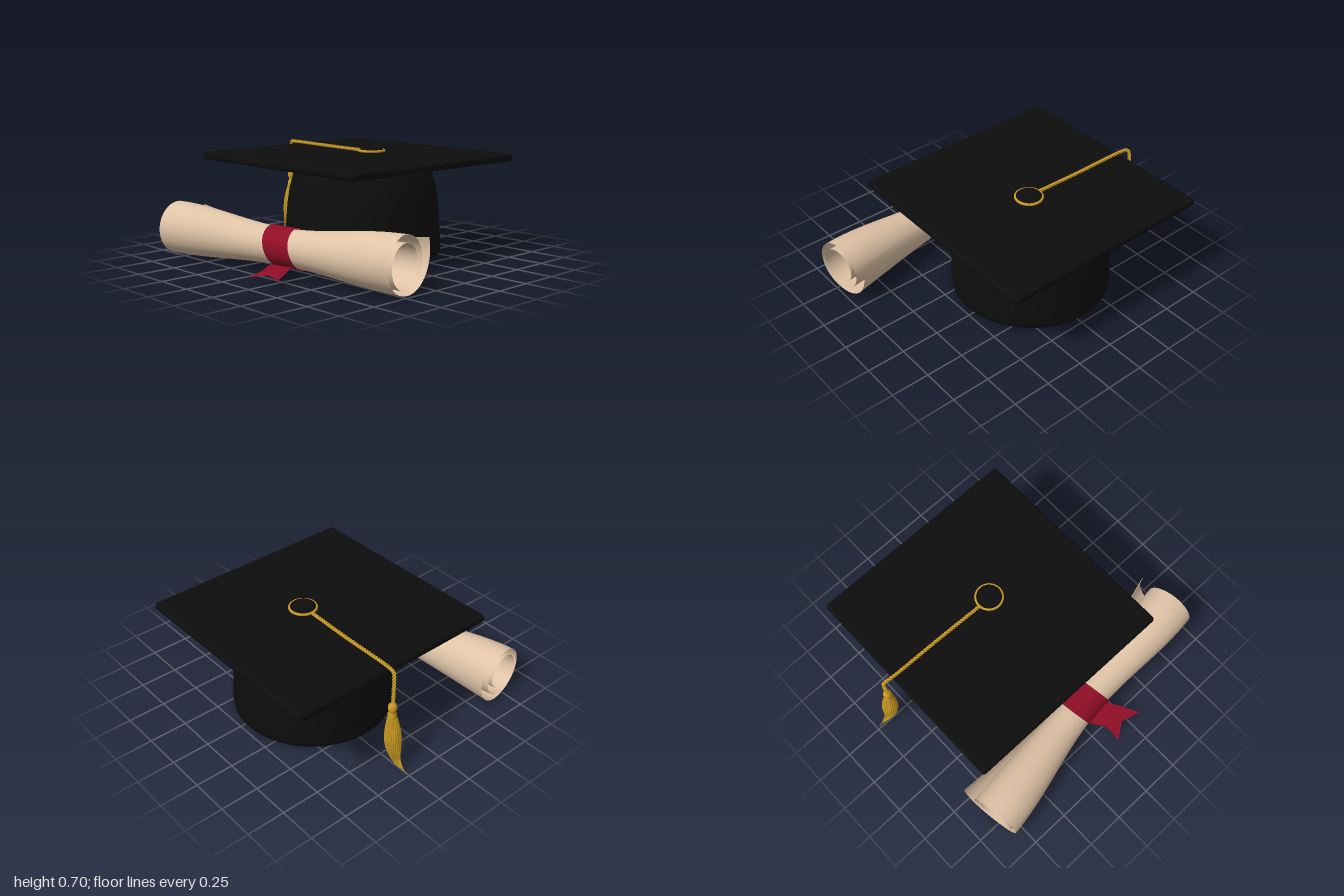
import * as THREE from 'three';
import { RoundedBoxGeometry } from 'three/addons/geometries/RoundedBoxGeometry.js';

const paint = (name, color) => new THREE.MeshStandardMaterial({ name, color, side: THREE.DoubleSide });

// Smooth sheet: fn(u, v) returns [x, y, z] for u, v in 0..1
function sheet(nu, nv, fn) {
  const pos = [], idx = [];
  for (let i = 0; i <= nu; i++) for (let j = 0; j <= nv; j++) pos.push(...fn(i / nu, j / nv));
  for (let i = 0; i < nu; i++) for (let j = 0; j < nv; j++) {
    const a = i * (nv + 1) + j, b = a + nv + 1;
    idx.push(a, b, a + 1, b, b + 1, a + 1);
  }
  const g = new THREE.BufferGeometry();
  g.setAttribute('position', new THREE.Float32BufferAttribute(pos, 3));
  g.setIndex(idx);
  g.computeVertexNormals();
  return g;
}

const lathe = (pts, seg = 48) => new THREE.LatheGeometry(pts.map(p => new THREE.Vector2(...p)), seg);
const curve = pts => new THREE.CatmullRomCurve3(pts.map(p => new THREE.Vector3(...p)), false, 'centripetal');

export function createModel() {
  const black = paint('black cloth', 0x0d0d0d);
  const gold = paint('gold thread', 0xcb9a22);
  const tan = paint('parchment', 0xdfc3a6);
  const red = paint('red ribbon', 0x900e26);
  const model = new THREE.Group();
  const add = (name, geo, mat, parent = model, x = 0, y = 0, z = 0) => {
    const m = new THREE.Mesh(geo, mat);
    m.name = name;
    m.position.set(x, y, z);
    parent.add(m);
    return m;
  };
  const group = name => {
    const g = new THREE.Group();
    g.name = name;
    model.add(g);
    return g;
  };

  // Cap: rounded crown, square board and button
  const cap = group('cap');
  add('crown', lathe([[0, 0.003], [0.49, 0.003], [0.515, 0.012], [0.518, 0.05], [0.51, 0.2], [0.5, 0.34],
    [0.485, 0.44], [0.46, 0.53], [0.43, 0.585], [0.39, 0.62], [0, 0.63]], 64), black, cap, -0.05, 0, -0.2);
  const board = add('board', new RoundedBoxGeometry(1.44, 0.05, 1.46, 4, 0.02), black, cap, -0.06, 0.643, -0.16);
  board.rotation.z = -0.006;
  add('button', lathe([[0.085, 0], [0.085, 0.018], [0.07, 0.032], [0.04, 0.037], [0, 0.038]], 32),
    black, cap, 0, 0.667, -0.23);

  // Tassel: loop around the button, twisted cord, bound head and fringe
  const tassel = group('tassel');
  const loop = add('buttonLoop', new THREE.TorusGeometry(0.084, 0.009, 8, 40), gold, tassel, 0, 0.682, -0.23);
  loop.rotation.x = Math.PI / 2;
  const cordPath = curve([[-0.08, 0.678, -0.225], [-0.4, 0.681, -0.235], [-0.79, 0.686, -0.243],
    [-0.83, 0.682, -0.25], [-0.842, 0.66, -0.257], [-0.845, 0.46, -0.26]]);
  const frames = cordPath.computeFrenetFrames(240, false);
  for (const phase of [0, Math.PI]) {
    const strand = [];
    for (let i = 0; i <= 240; i++) {
      const a = phase + i * 0.62;
      strand.push(cordPath.getPointAt(i / 240)
        .addScaledVector(frames.normals[i], 0.006 * Math.cos(a))
        .addScaledVector(frames.binormals[i], 0.006 * Math.sin(a)));
    }
    add('cordStrand', new THREE.TubeGeometry(new THREE.CatmullRomCurve3(strand), 300, 0.007, 6), gold, tassel);
  }
  add('tasselHead', lathe([[0, 0.475], [0.014, 0.47], [0.026, 0.455], [0.028, 0.43], [0.021, 0.412], [0.021, 0.4],
    [0.028, 0.39], [0.029, 0.37], [0.026, 0.35], [0, 0.34]].reverse(), 24), gold, tassel, -0.845, 0, -0.26);

  // Fringe: swept core with tapering threads laid around it
  const sweep = curve([[-0.845, 0.37, -0.26], [-0.855, 0.26, -0.26], [-0.868, 0.15, -0.26],
    [-0.905, 0.06, -0.26], [-0.99, 0.01, -0.26]]);
  const spread = t => 0.022 + 0.03 * Math.sin(Math.PI * Math.min(1, t * 1.05)) - 0.02 * t * t;
  const fringePoint = (t, a, r) => {
    const p = sweep.getPointAt(t), d = sweep.getTangentAt(t);
    return [p.x - d.y * Math.cos(a) * r, p.y + d.x * Math.cos(a) * r, p.z + Math.sin(a) * r];
  };
  add('fringeCore', sheet(24, 20, (u, v) =>
    fringePoint(u * 0.95, v * 2 * Math.PI, (spread(u) - 0.004) * (1 - u ** 4))), gold, tassel);
  for (let k = 0; k < 22; k++) {
    const a0 = k / 22 * 2 * Math.PI, end = 0.86 + 0.14 * ((k * 7) % 11) / 10;
    add('fringeThread', sheet(22, 6, (u, v) => {
      const t = u * end, b = v * 2 * Math.PI, r = 0.0075 * (1 - u ** 3);
      return fringePoint(t, a0 + 0.5 * t + Math.cos(b) * r / 0.04,
        spread(t) * (1 - t ** 4) + Math.sin(b) * r);
    }), gold, tassel);
  }

  // Scroll: s runs along the axis from -1 to 1, pinched in the middle
  const scroll = group('scroll');
  const pinch = s => (1 - Math.cos(Math.PI * s)) / 2;
  const radius = s => 0.115 + 0.057 * pinch(s);
  const onScroll = (s, a, r) => {
    const m = pinch(s), back = Math.cos(a) * r;
    return [0.065 + 0.91 * s - 0.15 * back, 0.16 + 0.022 * m + Math.sin(a) * r,
      0.5975 - 0.1225 * s - 0.03 * (1 - m) - 0.99 * back];
  };
  // Paper winds from a loose outer flap at the back, under and round, into an inner curl
  add('paper', sheet(48, 180, (u, v) => {
    const s = 2 * u - 1, turn = v * 2.25;
    const flap = 0.085 * s * s * Math.max(0, 1 - turn / 0.36) ** 1.3;
    const inward = 1 - 0.4 * Math.max(0, turn - 0.8) / 1.45;
    return onScroll(s, 0.49 - turn * 2 * Math.PI, radius(s) * inward + flap);
  }), tan, scroll);

  // Ribbon: slanted band and a swallow-tailed end
  const ribbon = group('ribbon');
  add('ribbonBand', sheet(8, 64, (u, v) => {
    const a = v * 2 * Math.PI, s = 0.03 + (u - 0.5) * 0.225 - 0.038 * Math.sin(a);
    return onScroll(s, a, radius(s) + 0.007);
  }), red, ribbon);
  const leftEdge = curve([[0.0, 0.042, 0.57], [0.035, 0.055, 0.68], [0.1, 0.052, 0.78], [0.1, 0.03, 0.89]]);
  const rightEdge = curve([[0.2, 0.042, 0.55], [0.215, 0.066, 0.65], [0.27, 0.058, 0.74], [0.335, 0.045, 0.855]]);
  add('ribbonTail', sheet(20, 12, (u, v) => {
    const notch = 1 - 0.16 * (1 - Math.abs(2 * v - 1));
    const t = u * notch, p = leftEdge.getPoint(t).lerp(rightEdge.getPoint(t), v);
    return [p.x, p.y, p.z];
  }), red, ribbon);

  return model;
}
